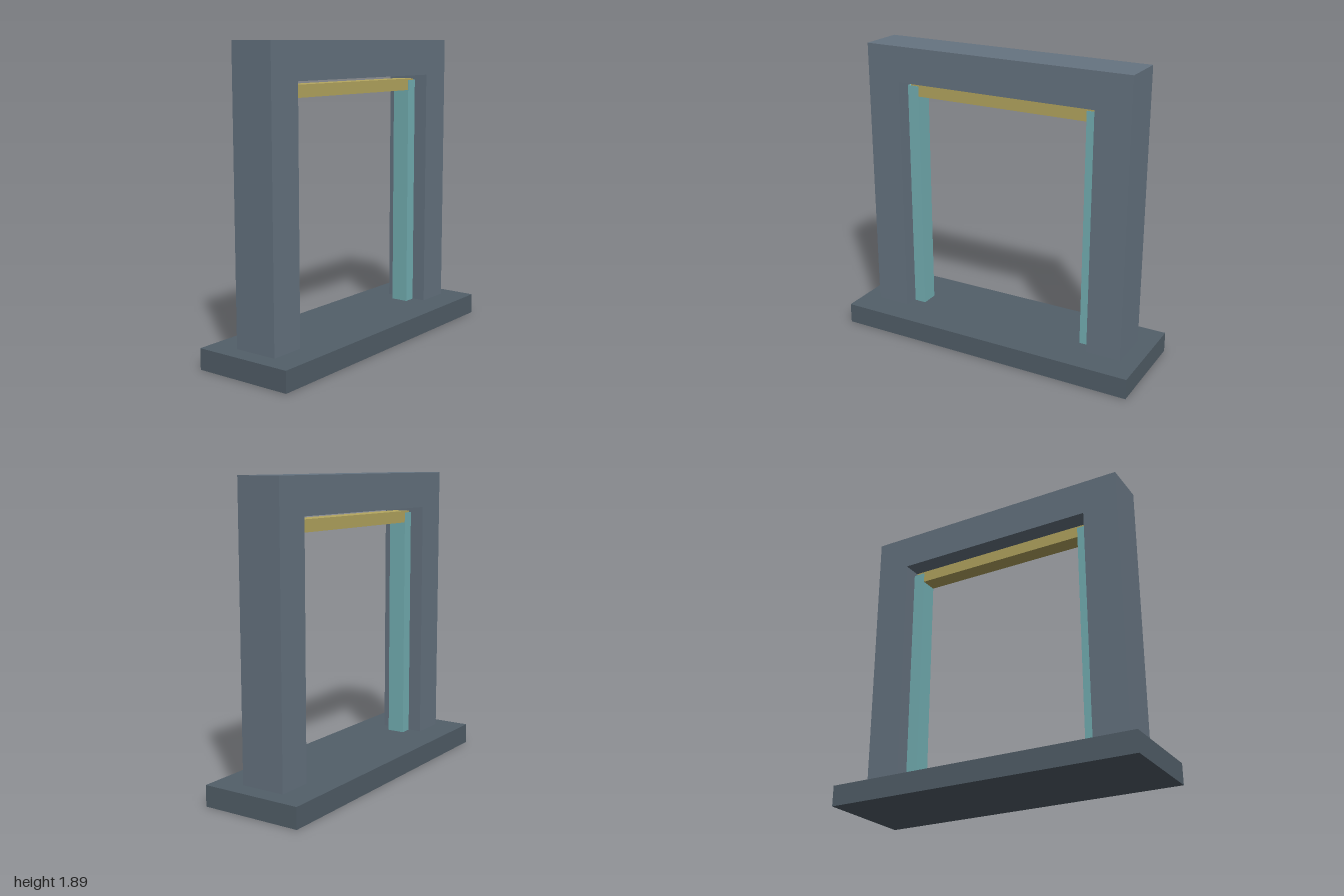
import * as THREE from 'three';

const paint = (color) => new THREE.MeshStandardMaterial({ color });

export function createModel() {
  const group = new THREE.Group();
  const slate = paint(0x667481);
  const darkSlate = paint(0x525f69);
  const teal = paint(0x74b0b4);
  const ochre = paint(0xb5a760);

  // Box given by its size, the height of its underside and its x position
  function box(name, w, h, d, bottom, material, x = 0) {
    const mesh = new THREE.Mesh(new THREE.BoxGeometry(w, h, d), material);
    mesh.name = name;
    mesh.position.set(x, bottom + h / 2, 0);
    group.add(mesh);
  }

  const baseTop = 0.13, top = 1.89, soffit = 1.665;
  const outer = 0.885, inner = 0.66, depth = 0.286;

  // Base slab
  box('base', 2, baseTop, 0.65, 0, darkSlate);

  // Door frame: two posts and a lintel in one outline
  const outline = new THREE.Shape([
    [-outer, baseTop], [-inner, baseTop], [-inner, soffit], [inner, soffit],
    [inner, baseTop], [outer, baseTop], [outer, top], [-outer, top],
  ].map(([x, y]) => new THREE.Vector2(x, y)));
  const frameGeometry = new THREE.ExtrudeGeometry(outline, { depth, bevelEnabled: false });
  frameGeometry.translate(0, 0, -depth / 2);
  const frame = new THREE.Mesh(frameGeometry, slate);
  frame.name = 'frame';
  group.add(frame);

  // Slim jamb strips inside the opening
  for (const [name, side] of [['leftJambStrip', 1], ['rightJambStrip', -1]]) {
    box(name, 0.078, 1.5, 0.114, baseTop, teal, side * 0.614);
  }

  // Head strip joining the jambs
  box('headStrip', 1.26, 0.075, 0.112, 1.565, ochre);

  return group;
}
